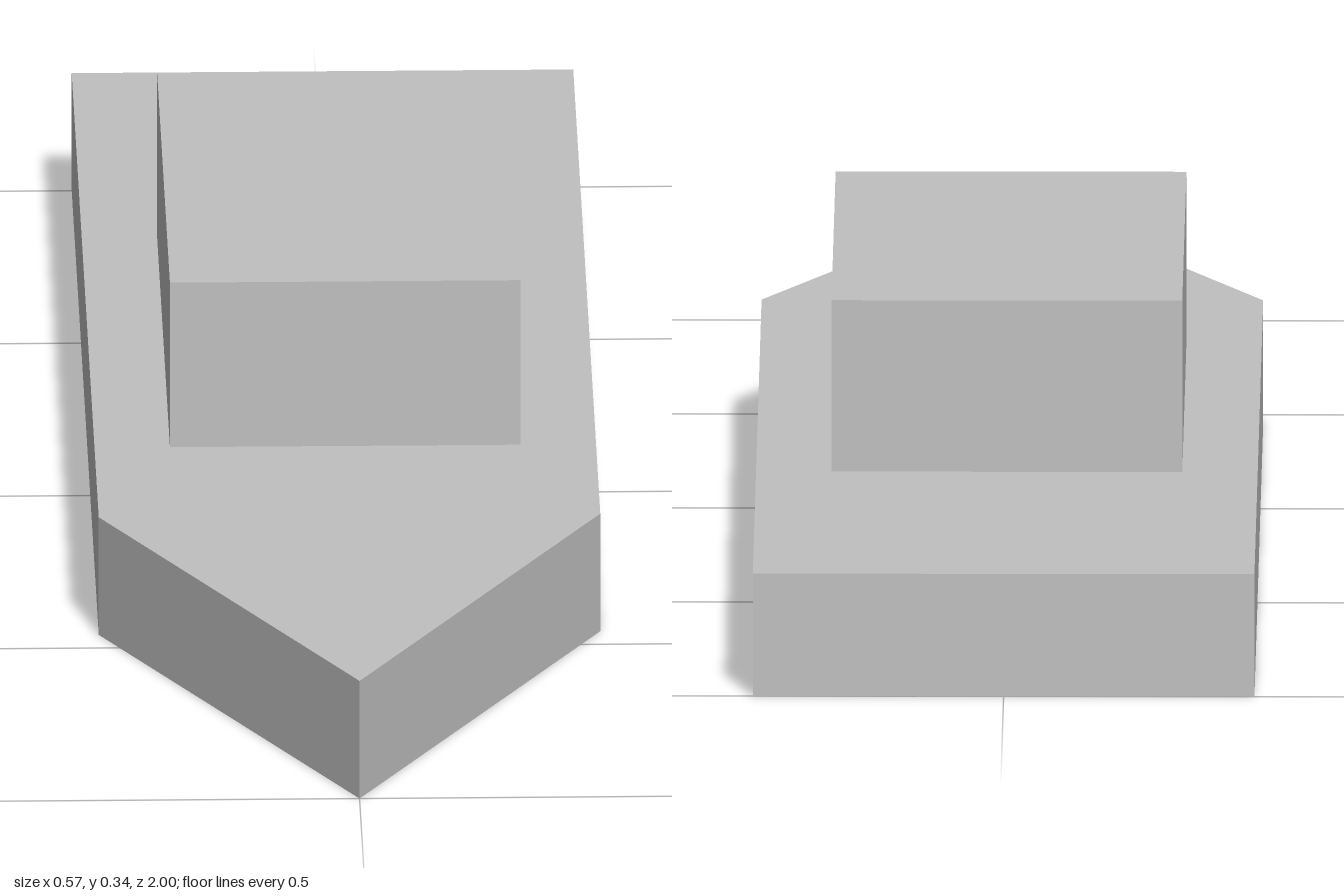
import * as THREE from 'three';

const DECK = 0.143; // hull height

export function createModel() {
  const group = new THREE.Group();
  const grey = new THREE.MeshStandardMaterial({ color: 0xc0c0c0 });
  grey.name = 'light grey';

  // Hull: square stern, straight sides and a pointed bow, drawn in plan
  const plan = new THREE.Shape([
    [-0.286, -1], [0.286, -1], [0.286, 0.457], [0, 1], [-0.286, 0.457],
  ].map(([x, z]) => new THREE.Vector2(x, z)));
  const hullGeometry = new THREE.ExtrudeGeometry(plan, { depth: DECK, bevelEnabled: false });
  hullGeometry.rotateX(Math.PI / 2).translate(0, DECK, 0);
  const hull = new THREE.Mesh(hullGeometry, grey);
  hull.name = 'hull';

  // Cabin: plain block set a little behind the middle of the deck
  const cabin = new THREE.Mesh(new THREE.BoxGeometry(0.4, 0.2, 0.686), grey);
  cabin.name = 'cabin';
  cabin.position.set(0, DECK + 0.1, -0.114);

  group.add(hull, cabin);
  return group;
}
